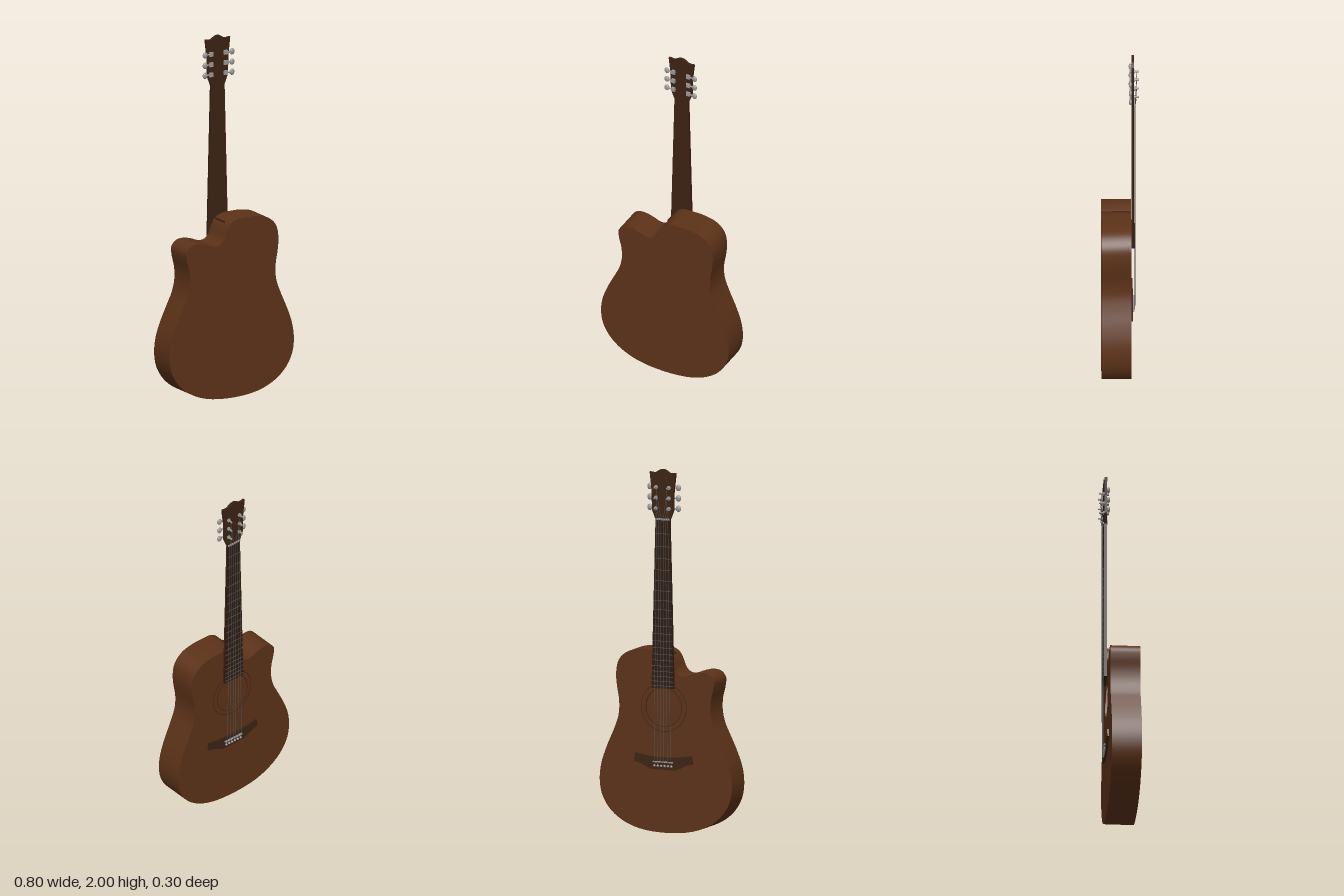
import * as THREE from 'three';

const CX = 0.012;        // centre line of neck, sound hole and bridge
const HALF = 0.0815;     // half the depth of the body
const NUT = 1.72, SADDLE = 0.39, BOARD_END = 0.795, HOLE_Y = 0.69;

const mat = (color) => new THREE.MeshStandardMaterial({ color, side: THREE.DoubleSide });
const body = mat(0x5c3218), dark = mat(0x3c2213), board = mat(0x2c190f);
const metal = mat(0x999999), stringMat = mat(0x555555);

function add(parent, name, geometry, material, x = 0, y = 0, z = 0) {
  const mesh = new THREE.Mesh(geometry, material);
  mesh.name = name;
  mesh.position.set(x, y, z);
  parent.add(mesh);
  return mesh;
}

// Flat plate from a 2D shape, filling z0..z1
function slab(shape, z0, z1) {
  const g = new THREE.ExtrudeGeometry(shape, { depth: z1 - z0, bevelEnabled: false, curveSegments: 40 });
  return g.translate(0, 0, z0);
}

// Shape mirrored about the centre line, from its right half (bottom to top)
function mirrored(half) {
  const right = half.map(([x, y]) => new THREE.Vector2(CX + x, y));
  const left = half.map(([x, y]) => new THREE.Vector2(CX - x, y)).reverse();
  return new THREE.Shape([...right, ...left]);
}

// Body outline with a cutaway on the -x shoulder
function bodyOutline() {
  const pts = [
    [0, 0], [0.16, 0.016], [0.265, 0.058], [0.335, 0.115], [0.38, 0.19], [0.394, 0.275],
    [0.383, 0.365], [0.35, 0.46], [0.31, 0.55], [0.282, 0.63], [0.278, 0.71], [0.291, 0.79],
    [0.296, 0.865], [0.28, 0.935], [0.23, 0.982], [0.16, 1.0], [0.09, 1.002], [0.03, 0.998],
    [-0.008, 0.978], [-0.032, 0.94], [-0.05, 0.895], [-0.08, 0.868], [-0.115, 0.866],
    [-0.16, 0.882], [-0.21, 0.893], [-0.255, 0.887], [-0.285, 0.855], [-0.284, 0.81],
    [-0.268, 0.74], [-0.266, 0.67], [-0.282, 0.6], [-0.31, 0.54], [-0.35, 0.455],
    [-0.383, 0.365], [-0.394, 0.275], [-0.38, 0.19], [-0.335, 0.115], [-0.265, 0.058], [-0.16, 0.016],
  ].map(([x, y]) => new THREE.Vector3(x, y, 0));
  const curve = new THREE.CatmullRomCurve3(pts, true);
  return curve.getPoints(156).slice(0, -1).map((p) => new THREE.Vector2(p.x, Math.max(0, p.y)));
}

// Closed ribbon around the outline
function ribbon(outline, z0, z1) {
  const pos = [], idx = [], n = outline.length;
  outline.forEach((p, i) => {
    pos.push(p.x, p.y, z0, p.x, p.y, z1);
    const a = 2 * i, b = 2 * ((i + 1) % n);
    idx.push(a, b, a + 1, b, b + 1, a + 1);
  });
  const g = new THREE.BufferGeometry();
  g.setAttribute('position', new THREE.Float32BufferAttribute(pos, 3));
  g.setIndex(idx);
  g.computeVertexNormals();
  return g;
}

function buildBody(g) {
  const outline = bodyOutline(), t = 0.004;
  add(g, 'back', slab(new THREE.Shape(outline), HALF - t, HALF), body);
  add(g, 'sides', ribbon(outline, -HALF + t, HALF - t), body);
  const top = new THREE.Shape(outline);
  top.holes.push(new THREE.Path().absarc(CX, HOLE_Y, 0.105, 0, Math.PI * 2, true));
  add(g, 'soundboard', slab(top, -HALF, -HALF + t), body);
  // Rosette: a broad band with two thin dark rings
  for (const [inner, outer, m] of [[0.105, 0.109, dark], [0.109, 0.132, body], [0.132, 0.136, dark]])
    add(g, 'rosette', new THREE.RingGeometry(inner, outer, 64), m, CX, HOLE_Y, -HALF - 0.001);
  add(g, 'neckBlock', new THREE.BoxGeometry(0.09, 0.18, 0.1), dark, CX + 0.02, 0.89, -0.025);
}

function buildNeck(g) {
  add(g, 'neck', slab(mirrored([[0.066, BOARD_END], [0.042, NUT]]), -0.092, -HALF - 0.0015), dark);
  add(g, 'fretboard', slab(mirrored([[0.066, BOARD_END], [0.042, NUT]]), -0.099, -0.092), board);
  add(g, 'nut', new THREE.BoxGeometry(0.084, 0.01, 0.011), metal, CX, NUT + 0.005, -0.097);
  for (let i = 1; i <= 20; i++) {
    const y = NUT - (NUT - SADDLE) * (1 - 2 ** (-i / 12));
    const w = 0.084 + 0.048 * (NUT - y) / (NUT - BOARD_END);
    add(g, 'fret', new THREE.BoxGeometry(w, 0.003, 0.002), stringMat, CX, y, -0.0995);
  }
  // Headstock with a wavy top edge
  const head = [[0.042, NUT], [0.064, 1.775], [0.066, 1.88], [0.078, 1.983],
    [0.058, 1.98], [0.042, 1.981], [0.028, 1.99], [0.014, 1.998], [0, 2.0]];
  add(g, 'headstock', slab(mirrored(head), -0.097, -0.083), dark);
}

function buildTuners(g) {
  for (const side of [-1, 1]) for (const y of [1.9, 1.842, 1.785]) {
    const tuner = new THREE.Group();
    tuner.name = 'tuner';
    tuner.position.set(CX, y, 0);
    g.add(tuner);
    const post = new THREE.CylinderGeometry(0.005, 0.005, 0.05, 12).rotateX(Math.PI / 2);
    add(tuner, 'post', post, metal, side * 0.038, 0, -0.1);
    const collar = new THREE.CylinderGeometry(0.011, 0.011, 0.006, 16).rotateX(Math.PI / 2);
    add(tuner, 'collar', collar, metal, side * 0.038, 0, -0.099);
    add(tuner, 'gearHousing', new THREE.BoxGeometry(0.022, 0.024, 0.012), metal, side * 0.045, 0, -0.078);
    const shaft = new THREE.CylinderGeometry(0.004, 0.004, 0.03, 10).rotateZ(Math.PI / 2);
    add(tuner, 'shaft', shaft, metal, side * 0.065, 0, -0.077);
    const knob = add(tuner, 'knob', new THREE.SphereGeometry(1, 20, 12), metal, side * 0.085, 0, -0.077);
    knob.scale.set(0.015, 0.018, 0.009);
  }
}

function buildBridge(g) {
  const s = new THREE.Shape();
  s.moveTo(CX - 0.175, 0.385);
  s.bezierCurveTo(CX - 0.11, 0.378, CX - 0.1, 0.347, CX - 0.06, 0.347);
  s.lineTo(CX + 0.06, 0.347);
  s.bezierCurveTo(CX + 0.1, 0.347, CX + 0.11, 0.378, CX + 0.175, 0.385);
  s.lineTo(CX + 0.168, 0.432);
  s.quadraticCurveTo(CX, 0.398, CX - 0.168, 0.432);
  add(g, 'bridge', slab(s, -HALF - 0.009, -HALF), dark);
  add(g, 'saddle', new THREE.BoxGeometry(0.12, 0.006, 0.012), metal, CX, SADDLE, -0.0945);
}

function buildStrings(g) {
  for (let i = 0; i < 6; i++) {
    const k = (i - 2.5) / 2.5, side = Math.sign(k);
    // Inner strings run to the higher posts
    const postY = [1.9, 1.842, 1.785][Math.floor(Math.abs(i - 2.5))];
    const path = new THREE.CurvePath();
    const pts = [[k * 0.05, 0.368, -0.092], [k * 0.049, SADDLE, -0.102],
      [k * 0.034, NUT + 0.005, -0.1035], [side * 0.034, postY, -0.112]]
      .map(([x, y, z]) => new THREE.Vector3(CX + x, y, z));
    for (let j = 0; j < 3; j++) path.add(new THREE.LineCurve3(pts[j], pts[j + 1]));
    path.curves.forEach((c) => add(g, 'string', new THREE.TubeGeometry(c, 1, 0.0014, 6), stringMat));
    add(g, 'bridgePin', new THREE.SphereGeometry(0.007, 14, 10), metal, CX + k * 0.05, 0.368, -0.094);
  }
}

export function createModel() {
  const guitar = new THREE.Group();
  guitar.name = 'guitar';
  for (const build of [buildBody, buildNeck, buildTuners, buildBridge, buildStrings]) build(guitar);
  guitar.rotation.y = 0.176;   // stands turned slightly, soundboard towards -z
  const model = new THREE.Group();
  model.add(guitar);
  return model;
}
